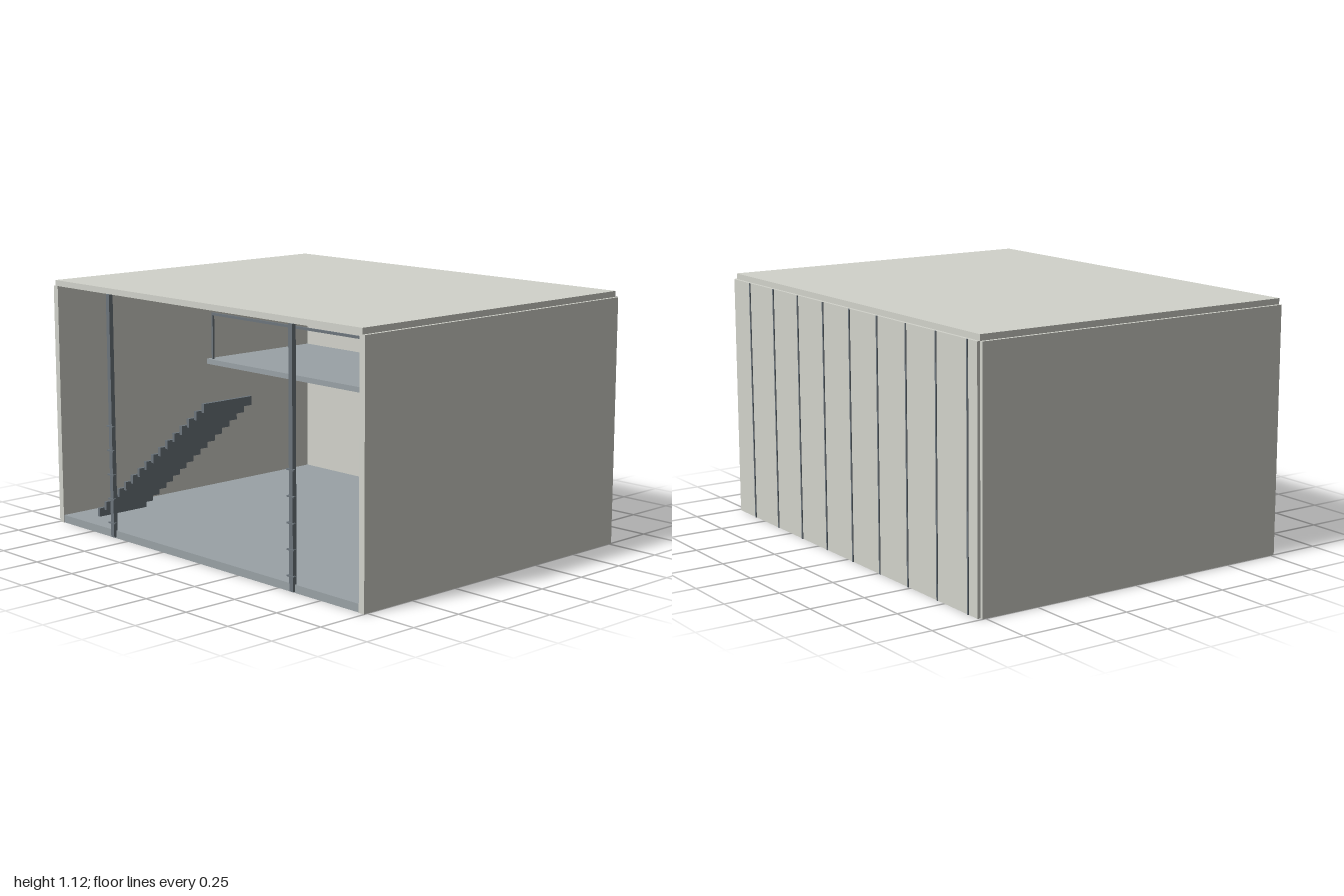
import * as THREE from 'three';

const mat = (color) => new THREE.MeshStandardMaterial({ color });

export function createModel() {
  const model = new THREE.Group();
  model.name = 'hall';
  const wall = mat(0xd2d3cb), slab = mat(0x9aa2a6), steel = mat(0x6c757c);

  // Box given by its lower and upper limits on each axis
  const box = (name, material, [x0, x1], [y0, y1], [z0, z1], parent = model) => {
    const mesh = new THREE.Mesh(new THREE.BoxGeometry(x1 - x0, y1 - y0, z1 - z0), material);
    mesh.position.set((x0 + x1) / 2, (y0 + y1) / 2, (z0 + z1) / 2);
    mesh.name = name;
    parent.add(mesh);
  };
  const group = (name) => {
    const g = new THREE.Group();
    g.name = name;
    model.add(g);
    return g;
  };

  // Shell, open at the front
  box('floor', slab, [-0.97, 0.97], [0, 0.035], [-0.765, 0.765]);
  box('roof', wall, [-0.985, 0.985], [1.097, 1.123], [-0.765, 0.768]);
  box('leftWall', wall, [0.97, 1], [0, 1.097], [-0.765, 0.768]);
  box('rightWall', wall, [-1, -0.97], [0, 1.097], [-0.765, 0.768]);
  box('backWall', wall, [-0.985, 0.985], [0, 1.097], [-0.778, -0.765]);

  // Narrow battens over the back wall joints
  const battens = group('backBattens');
  for (let i = 0; i < 9; i++) {
    const x = -0.92 + i * 0.219;
    box('batten', steel, [x - 0.004, x + 0.004], [0, 1.097], [-0.782, -0.777], battens);
  }

  // Mezzanine across the rear, with a railing along its front edge
  const edge = -0.1;
  box('mezzanine', slab, [-0.97, 0.97], [0.64, 0.665], [-0.765, edge]);
  const railing = group('railing');
  box('handrail', steel, [-0.945, 0.945], [0.88, 0.892], [edge - 0.02, edge - 0.01], railing);
  for (const x of [-0.94, 0.94]) {
    box('railPost', steel, [x - 0.005, x + 0.005], [0.665, 0.88], [edge - 0.02, edge - 0.01], railing);
  }

  // Floating steps rising along x
  const stairs = group('stairs');
  for (let i = 0; i < 16; i++) {
    const x = -0.833 + i * 0.0502, y = 0.037 + i * 0.0395;
    box('step', steel, [x - 0.008, x + 0.008], [y, y + 0.039], [0.4, 0.67], stairs);
  }

  // Front posts with small hinge plates
  for (const x of [-0.59, 0.59]) {
    const post = group(x > 0 ? 'leftPost' : 'rightPost');
    box('column', steel, [x - 0.011, x + 0.011], [0.005, 1.097], [0.757, 0.777], post);
    for (let i = 0; i < 5; i++) {
      const y = 0.07 + i * 0.11;
      box('plate', steel, [x - 0.021, x + 0.021], [y - 0.003, y + 0.003], [0.768, 0.782], post);
    }
  }
  return model;
}
